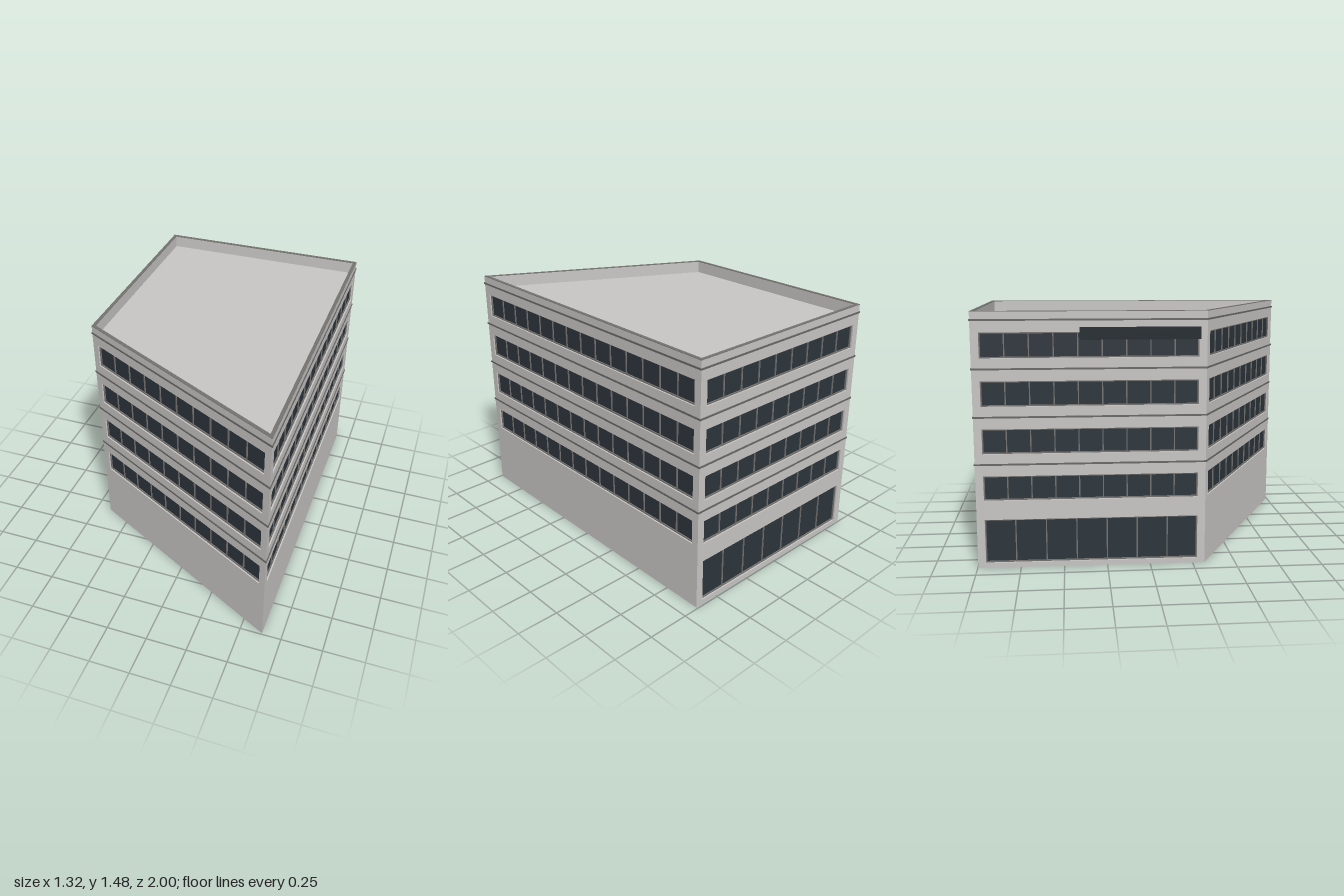
import * as THREE from 'three';

const mat = (name, color) => Object.assign(new THREE.MeshStandardMaterial({ color }), { name });

export function createModel() {
  const concrete = mat('concrete', 0xc8c6c4);
  const glass = mat('darkGlass', 0x2c353c);
  const metal = mat('greyMetal', 0x75726f);
  const trim = mat('darkTrim', 0x686866);
  const signPaint = mat('signPanel', 0x20282e);

  const model = new THREE.Group();
  model.name = 'officeBuilding';
  const H = 1.475, T = 0.02, CAP = 0.003, MARGIN = 0.045;

  // Plan corners, counter-clockwise from above: front left end first
  const corners = [[-0.653, 0.32], [0.633, 0.993], [0.654, -0.99], [-0.64, -0.996]]
    .map(([x, z]) => new THREE.Vector2(x, z));
  const cornerAt = (i) => corners[(i + 4) % 4];
  const halfAngle = (i) => {
    const a = cornerAt(i - 1).clone().sub(cornerAt(i)).normalize();
    const b = cornerAt(i + 1).clone().sub(cornerAt(i)).normalize();
    return Math.acos(a.dot(b)) / 2;
  };

  // Shape helpers in wall space: x along the wall, y up, z outward
  const rect = (target, x0, y0, x1, y1) => {
    target.moveTo(x0, y0).lineTo(x1, y0).lineTo(x1, y1).lineTo(x0, y1).closePath();
    return target;
  };
  const extrude = (shape, z0, z1) =>
    new THREE.ExtrudeGeometry(shape, { depth: z1 - z0, bevelEnabled: false }).translate(0, 0, z0);
  const block = (x0, x1, y0, y1, z0, z1) =>
    new THREE.BoxGeometry(x1 - x0, y1 - y0, z1 - z0)
      .translate((x0 + x1) / 2, (y0 + y1) / 2, (z0 + z1) / 2);
  const add = (group, name, geometry, material) => {
    const mesh = new THREE.Mesh(geometry, material);
    mesh.name = name;
    group.add(mesh);
  };

  // Four upper window rows and the belt course above each
  const STOREY = 0.2715;
  const rows = [0, 1, 2, 3].map((k) => [0.401 + k * STOREY, 0.544 + k * STOREY]);
  const belts = [0, 1, 2, 3].map((k) => 0.612 + k * STOREY);

  const sides = [
    { name: 'front', panes: 10 },
    { name: 'leftSide', panes: 14 },
    { name: 'back', panes: 9, shopPanes: 7 },
    { name: 'rightSide', panes: 9, shopPanes: 7, sign: true },
  ];

  sides.forEach((side, i) => {
    const p = cornerAt(i), q = cornerAt(i + 1);
    const L = p.distanceTo(q);
    const wall = new THREE.Group();
    wall.name = side.name + 'Facade';
    wall.position.set(p.x, 0, p.y);
    wall.rotation.y = Math.atan2(-(q.y - p.y), q.x - p.x);
    model.add(wall);

    // Mitre the wall-end vertices so neighbouring pieces meet cleanly
    const startCot = 1 / Math.tan(halfAngle(i)), endCot = 1 / Math.tan(halfAngle(i + 1));
    const mitre = (geo) => {
      const pos = geo.attributes.position;
      for (let v = 0; v < pos.count; v++) {
        const x = pos.getX(v), z = pos.getZ(v);
        if (x < 1e-4) pos.setX(v, x - z * startCot);
        else if (x > L - 1e-4) pos.setX(v, x + z * endCot);
      }
      geo.computeVertexNormals();
      return geo;
    };

    const openings = rows.map(([y0, y1]) => ({ name: 'window', y0, y1, n: side.panes }));
    if (side.shopPanes) openings.push({ name: 'groundGlazing', y0: 0.03, y1: 0.288, n: side.shopPanes });
    const x0 = MARGIN, x1 = L - MARGIN;

    // Wall with openings
    const shape = rect(new THREE.Shape(), 0, 0, L, H - CAP);
    for (const o of openings) shape.holes.push(rect(new THREE.Path(), x0, o.y0, x1, o.y1));
    add(wall, 'wall', mitre(extrude(shape, -T, 0)), concrete);

    // Glass strip, frame and mullions in each opening
    const F = 0.007;
    for (const { name, y0, y1, n } of openings) {
      add(wall, name + 'Glass', block(x0 - 0.004, x1 + 0.004, y0 - 0.004, y1 + 0.004, -T - 0.003, -T + 0.003), glass);
      const frame = rect(new THREE.Shape(), x0, y0, x1, y1);
      frame.holes.push(rect(new THREE.Path(), x0 + F, y0 + F, x1 - F, y1 - F));
      add(wall, name + 'Frame', extrude(frame, -T + 0.001, -T + 0.011), metal);
      for (let k = 1; k < n; k++) {
        const x = x0 + ((x1 - x0) * k) / n;
        add(wall, name + 'Mullion', block(x - 0.0035, x + 0.0035, y0 + F, y1 - F, -T + 0.001, -T + 0.009), metal);
      }
    }

    // Belt courses and parapet coping
    for (const y of belts) add(wall, 'beltCourse', mitre(block(0, L, y - 0.005, y + 0.005, -0.002, 0.004)), trim);
    add(wall, 'coping', mitre(block(0, L, H - CAP, H, -T, 0)), metal);

    // Blank sign panel near the front end
    if (side.sign) add(wall, 'signPanel', block(0.6, 1.28, 1.315, 1.385, 0, 0.008), signPaint);
  });

  // Roof deck sunk behind the parapet
  const deck = new THREE.Shape(corners.map((c) => new THREE.Vector2(c.x * 0.985, -c.y * 0.985)));
  const deckGeo = new THREE.ExtrudeGeometry(deck, { depth: 0.02, bevelEnabled: false });
  deckGeo.rotateX(-Math.PI / 2).translate(0, 1.38, 0);
  add(model, 'roofDeck', deckGeo, concrete);

  return model;
}
